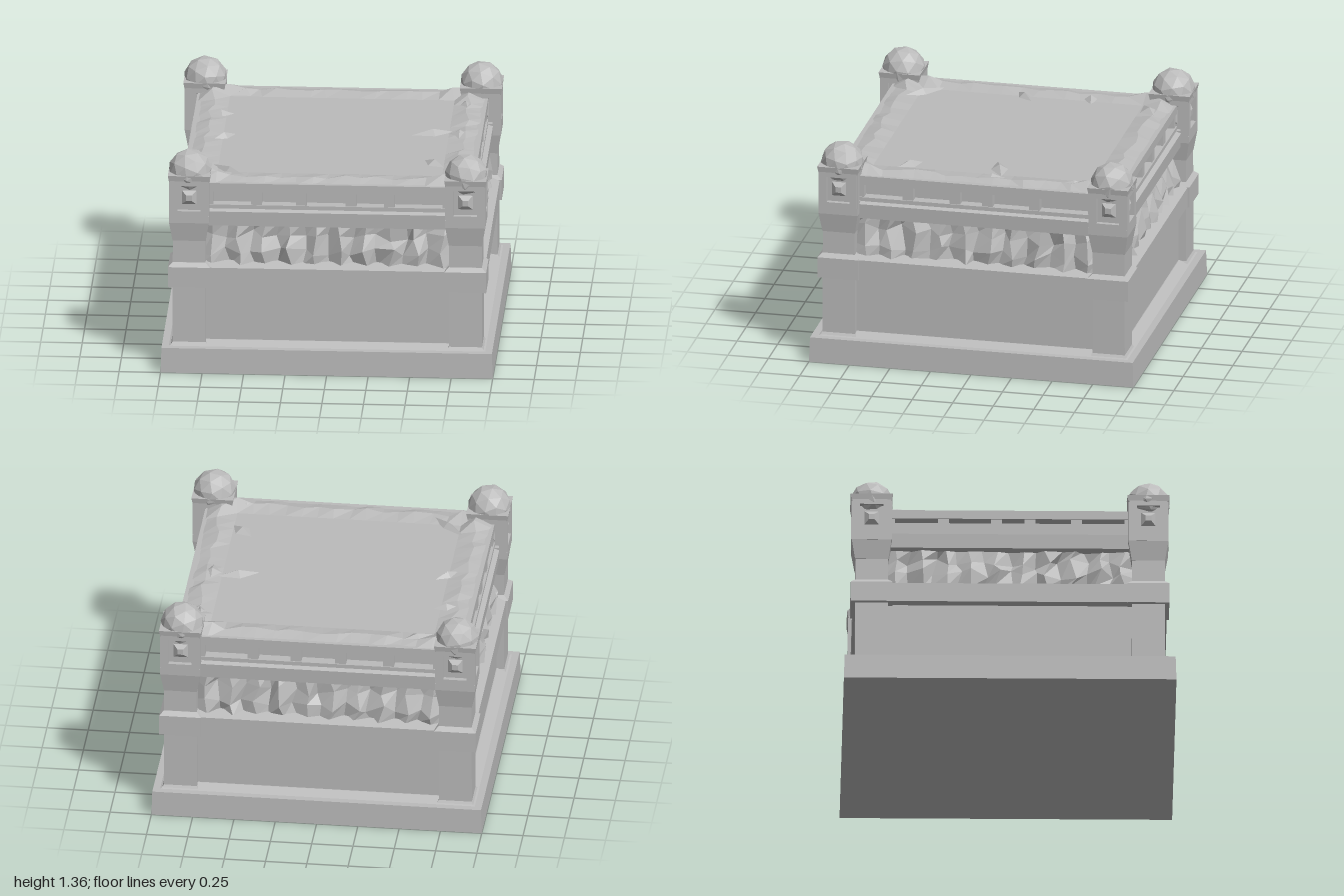
import * as THREE from 'three';

export function createModel() {
  const model = new THREE.Group();
  model.name = 'stonePlatform';
  const stone = new THREE.MeshStandardMaterial({ color: 0xbbbbbb, flatShading: true });
  stone.name = 'greyStone';

  let seed = 7;
  const rnd = () => {
    seed = (seed * 16807) % 2147483647;
    return seed / 2147483647;
  };
  const jitter = (a) => (rnd() * 2 - 1) * a;

  const add = (parent, name, geo, x = 0, y = 0, z = 0) => {
    const m = new THREE.Mesh(geo, stone);
    m.name = name;
    m.position.set(x, y, z);
    parent.add(m);
    return m;
  };
  const box = (parent, name, w, h, d, x, y, z) =>
    add(parent, name, new THREE.BoxGeometry(w, h, d), x, y, z);
  // square block from y0 to y1, with half widths b (bottom) and t (top)
  const block = (parent, name, b, t, y0, y1, x = 0, z = 0) => {
    const g = new THREE.CylinderGeometry(t * Math.SQRT2, b * Math.SQRT2, y1 - y0, 4);
    g.rotateY(Math.PI / 4);
    return add(parent, name, g, x, (y0 + y1) / 2, z);
  };

  // Tiers of the body
  block(model, 'baseSlab', 1.0, 0.995, 0, 0.155);
  block(model, 'baseMoulding', 0.965, 0.89, 0.15, 0.18);
  block(model, 'lowerWall', 0.885, 0.885, 0.15, 0.55);
  block(model, 'middleBand', 0.945, 0.945, 0.535, 0.655);
  block(model, 'middleBandBevel', 0.945, 0.87, 0.655, 0.68);
  block(model, 'upperCore', 0.81, 0.81, 0.65, 1.15);
  block(model, 'ledge', 0.9, 0.905, 0.91, 1.0);
  block(model, 'ledgeBevel', 0.905, 0.86, 1.0, 1.015);

  // Ragged hanging cloth and balustrade on each side
  const balusters = [
    [-0.43, -0.16, 0.14, 0.37],
    [-0.42, -0.13, 0.07, 0.36],
    [-0.4, -0.14, 0.13, 0.42],
    [-0.4, -0.08, 0.12, 0.4],
  ];
  balusters.forEach((spots, i) => {
    const side = new THREE.Group();
    side.name = 'side' + (i + 1);
    side.rotation.y = (i * Math.PI) / 2;
    model.add(side);

    const cols = 20;
    const cloth = new THREE.PlaneGeometry(1.52, 0.26, cols, 3);
    const p = cloth.attributes.position;
    for (let k = 0; k < p.count; k++) {
      const col = k % (cols + 1);
      const row = Math.floor(k / (cols + 1));
      const fold = (col % 2 ? 0.018 : -0.018) * (row === 0 ? 0.4 : 1);
      const lean = [0.845, 0.85, 0.88, 0.885][row];
      p.setZ(k, lean + fold + jitter(0.016));
      if (col > 0 && col < cols) p.setX(k, p.getX(k) + jitter(0.024));
      if (row === 1 || row === 2) p.setY(k, p.getY(k) + jitter(0.035));
    }
    add(side, 'hangingCloth', cloth, 0, 0.79, 0);

    box(side, 'topRail', 1.5, 0.055, 0.07, 0, 1.143, 0.84);
    box(side, 'bottomRail', 1.5, 0.035, 0.07, 0, 1.017, 0.84);
    for (const x of spots) box(side, 'baluster', 0.065, 0.11, 0.055, x, 1.075, 0.84);
    for (const x of [-0.71, 0.71]) box(side, 'endBaluster', 0.04, 0.11, 0.055, x, 1.075, 0.84);
  });

  // Worn top: flat in the middle, uneven at the rim, heaped at the corners
  const n = 18;
  const top = new THREE.PlaneGeometry(1.74, 1.74, n, n);
  top.rotateX(-Math.PI / 2);
  const tp = top.attributes.position;
  for (let k = 0; k < tp.count; k++) {
    const x = tp.getX(k);
    const z = tp.getZ(k);
    const edge = Math.max(Math.abs(x), Math.abs(z));
    const corner = Math.min(Math.abs(x), Math.abs(z));
    let y = 1.172;
    if (edge > 0.7 && edge < 0.86) {
      y += 0.008 + rnd() * 0.016;
      if (corner > 0.6) y += 0.03;
      tp.setX(k, x + jitter(0.02));
      tp.setZ(k, z + jitter(0.02));
    } else if (edge > 0.86) y = 1.165;
    tp.setY(k, y);
  }
  add(model, 'wornTop', top);

  // Broken shards lying on the top
  const shards = [
    [0.58, -0.08, 0.15, 0.06, 0.3], [0.74, -0.07, 0.07, 0.12, 0], [0.62, 0.46, 0.1, 0.06, -0.8],
    [-0.67, 0.05, 0.1, 0.04, 0.7], [-0.71, -0.35, 0.09, 0.05, 0.2], [-0.6, 0.66, 0.2, 0.04, -0.8],
    [0.75, -0.58, 0.05, 0.14, 0.2], [-0.58, -0.74, 0.14, 0.07, 0.5], [0.63, 0.76, 0.14, 0.05, 0.3],
  ];
  for (const [x, z, w, d, turn] of shards) {
    const s = add(model, 'shard', new THREE.ConeGeometry(1, 0.035, 4), x, 1.185, z);
    s.scale.set(w, 1, d);
    s.rotation.y = turn;
  }

  // Square frame around a post window
  const outline = new THREE.Shape();
  outline.moveTo(-0.115, -0.13).lineTo(0.115, -0.13).lineTo(0.115, 0.13).lineTo(-0.115, 0.13).closePath();
  const hole = new THREE.Path();
  hole.moveTo(-0.07, -0.08).lineTo(-0.07, 0.08).lineTo(0.07, 0.08).lineTo(0.07, -0.08).closePath();
  outline.holes.push(hole);
  const frame = new THREE.ExtrudeGeometry(outline, { depth: 0.03, bevelEnabled: false });
  const knob = new THREE.CylinderGeometry(0.025, 0.07, 0.025, 4);
  knob.rotateY(Math.PI / 4).rotateX(Math.PI / 2);

  // Corner piers, lantern posts and domes
  for (const sx of [-1, 1]) for (const sz of [-1, 1]) {
    const post = new THREE.Group();
    post.name = 'cornerPost';
    post.position.set(sx * 0.832, 0, sz * 0.832);
    model.add(post);

    block(post, 'pier', 0.1, 0.098, 0.15, 0.95);
    block(post, 'pierFoot', 0.115, 0.1, 0.15, 0.175);
    block(post, 'bandCorner', 0.126, 0.126, 0.53, 0.658);
    block(post, 'bandCornerBevel', 0.126, 0.1, 0.658, 0.682);
    const bracket = new THREE.CylinderGeometry(0.16, 0.125, 0.13, 8, 2);
    bracket.rotateY(Math.PI / 8);
    add(post, 'bracket', bracket, 0, 0.885, 0).scale.set(0.8, 1, 0.8);
    block(post, 'bracketFlare', 0.1, 0.121, 0.82, 0.945);
    block(post, 'postCore', 0.092, 0.092, 0.93, 1.23);
    block(post, 'postSill', 0.121, 0.121, 0.94, 0.985);
    block(post, 'postCap', 0.12, 0.127, 1.2, 1.24);
    for (let i = 0; i < 4; i++) {
      const face = new THREE.Group();
      face.name = 'windowFace';
      face.position.y = 1.095;
      face.rotation.y = (i * Math.PI) / 2;
      post.add(face);
      add(face, 'windowFrame', frame, 0, 0, 0.091);
      add(face, 'windowKnob', knob, 0, 0, 0.1);
    }
    const dome = add(post, 'dome', new THREE.IcosahedronGeometry(0.132, 1), 0, 1.235, 0);
    dome.rotation.set(0.2 * sx, 0.7 * sz + 0.3 * sx, 0.15);
  }
  return model;
}
